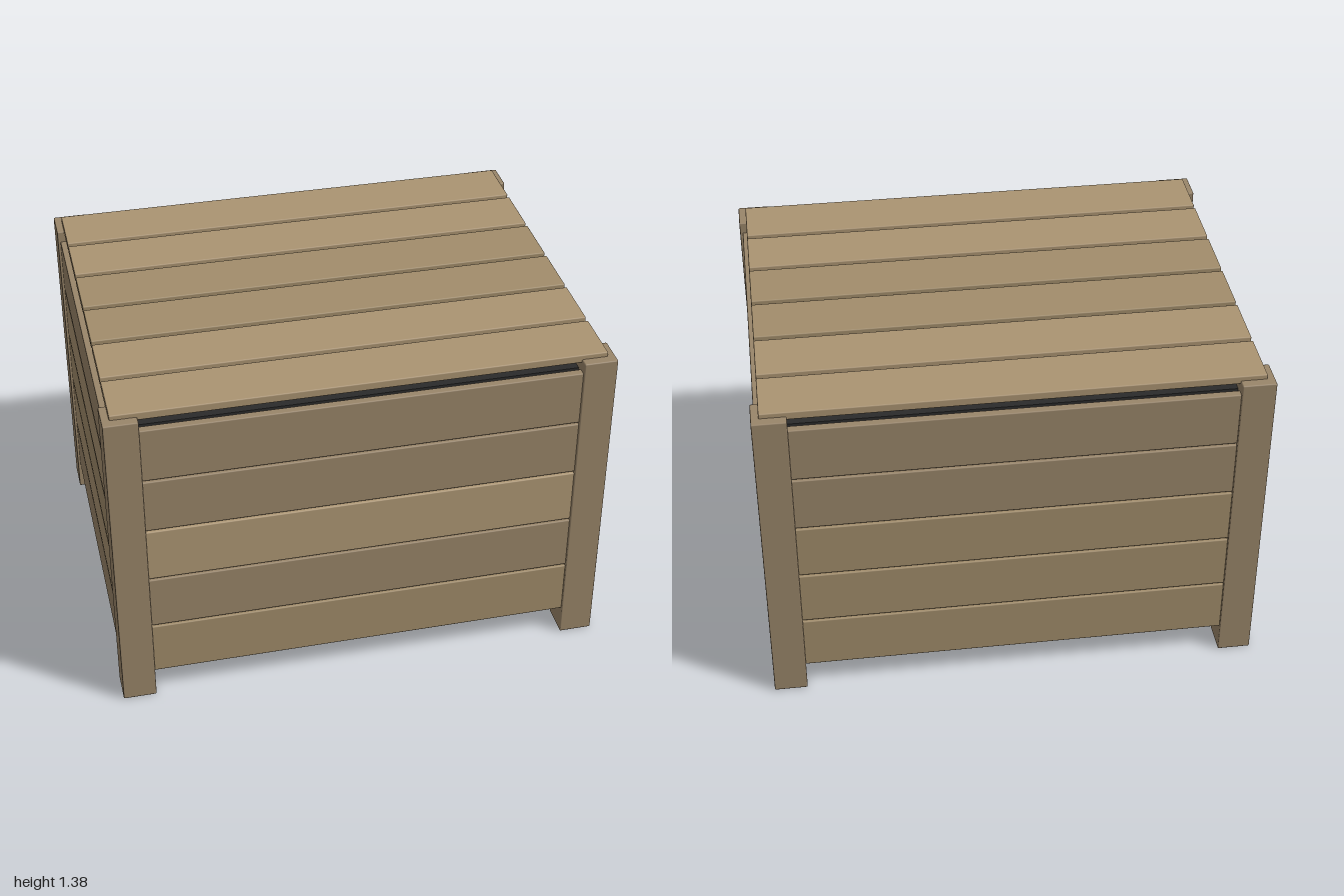
import * as THREE from 'three';
import { RoundedBoxGeometry } from 'three/addons/geometries/RoundedBoxGeometry.js';

const wood = [0x9a866a, 0xa28d6b, 0xab9472, 0xb09976].map(
  (color) => new THREE.MeshStandardMaterial({ color }));
const linerMaterial = new THREE.MeshStandardMaterial({ color: 0x2b2b2b });

const POST_W = 0.135, POST_H = 1.36;   // corner posts
const HALF_X = 1, HALF_Z = 0.803;      // outer half extents
const BOARD_T = 0.034;                 // board thickness
const BOARD_H = 0.232, BOARD_STEP = 0.24, BOARD_Y = 0.12;

// Timber with slightly eased edges
function timber(name, size, position, material) {
  const mesh = new THREE.Mesh(new RoundedBoxGeometry(...size, 1, 0.005), material);
  mesh.name = name;
  mesh.position.set(...position);
  return mesh;
}

// One wall of stacked boards, running along x and facing +z
function wall(name, length, tones) {
  const group = new THREE.Group();
  group.name = name;
  tones.forEach((tone, i) => {
    const y = BOARD_Y + BOARD_H / 2 + i * BOARD_STEP;
    group.add(timber('wallBoard', [length, BOARD_H, BOARD_T], [0, y, 0], wood[tone]));
  });
  return group;
}

export function createModel() {
  const model = new THREE.Group();
  model.name = 'storageBox';

  // Corner posts
  for (const sx of [-1, 1]) for (const sz of [-1, 1]) {
    model.add(timber('cornerPost', [POST_W, POST_H, POST_W],
      [sx * (HALF_X - POST_W / 2), POST_H / 2, sz * (HALF_Z - POST_W / 2)], wood[0]));
  }

  // Board walls, set just behind the post faces (tones from bottom to top)
  const lengthX = 2 * (HALF_X - POST_W) + 0.01;
  const lengthZ = 2 * (HALF_Z - POST_W) + 0.01;
  const walls = [
    ['frontWall', lengthX, [1, 0, 3, 0, 0], 0, 0.775],
    ['leftWall', lengthZ, [0, 2, 1, 2, 0], 1, 0.972],
    ['backWall', lengthX, [1, 1, 1, 0, 0], 2, 0.775],
    ['rightWall', lengthZ, [0, 2, 1, 2, 0], 3, 0.972],
  ];
  for (const [name, length, tones, turn, distance] of walls) {
    const side = wall(name, length, tones);
    const angle = turn * Math.PI / 2;
    side.rotation.y = angle;
    side.position.set(Math.sin(angle) * distance, 0, Math.cos(angle) * distance);
    model.add(side);
  }

  // Dark inner liner, seen through the gaps
  const liner = new THREE.Mesh(new THREE.BoxGeometry(1.87, 1.165, 1.475), linerMaterial);
  liner.name = 'innerLiner';
  liner.position.y = 0.14 + 1.165 / 2;
  model.add(liner);

  // Slatted lid, spaced above the walls
  const lid = new THREE.Group();
  lid.name = 'lid';
  [2, 2, 1, 1, 2, 2].forEach((tone, i) => {
    lid.add(timber('lidSlat', [1.94, 0.035, 0.236], [0, 1.3625, (i - 2.5) * 0.259], wood[tone]));
  });
  model.add(lid);

  return model;
}
